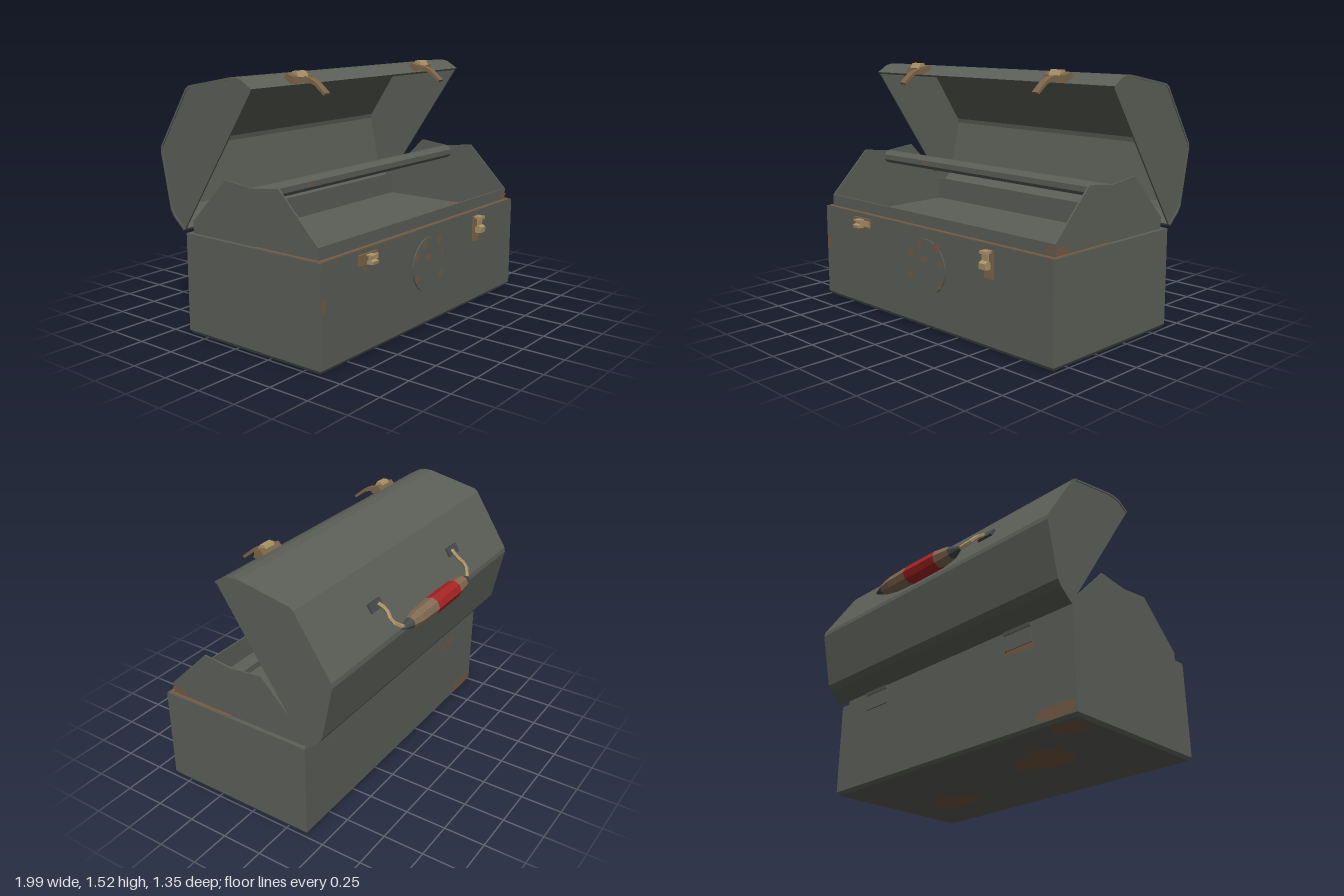
import * as THREE from 'three';

export function createModel() {
  const root = new THREE.Group();
  const mat = (name, color) => {
    const m = new THREE.MeshStandardMaterial({ color, flatShading: true, side: THREE.DoubleSide });
    m.name = name;
    return m;
  };
  const steel = mat('grey painted steel', 0x5c6058);
  const rust = mat('rust', 0x765b44);
  const red = mat('red paint', 0xa82424);
  const wood = mat('worn handle', 0x846b52);
  const dark = mat('dark iron', 0x454a4a);
  const brass = mat('pale brass', 0xab9468);
  const bronze = mat('dull bronze', 0x7d6549);

  const add = (name, geo, material, x = 0, y = 0, z = 0, parent = root) => {
    const m = new THREE.Mesh(geo, material);
    m.name = name;
    m.position.set(x, y, z);
    parent.add(m);
    return m;
  };
  const box = (name, w, h, d, material, x, y, z, parent) =>
    add(name, new THREE.BoxGeometry(w, h, d), material, x, y, z, parent);

  // Side profile given as [z, y] points, extruded along x and centred on x
  const profile = (name, pts, width, material, x = 0, parent = root) => {
    const shape = new THREE.Shape(pts.map(([z, y]) => new THREE.Vector2(-z, y)));
    const geo = new THREE.ExtrudeGeometry(shape, { depth: width, bevelEnabled: false });
    geo.translate(0, 0, -width / 2).rotateY(Math.PI / 2);
    return add(name, geo, material, x, 0, 0, parent);
  };

  // Irregular flat rust stain
  let seed = 7;
  const rand = () => (seed = (seed * 16807) % 2147483647) / 2147483647;
  const turn = {
    front: [0, 0], back: [0, Math.PI], right: [0, Math.PI / 2], left: [0, -Math.PI / 2],
    top: [-Math.PI / 2, 0], bottom: [Math.PI / 2, 0],
  };
  const stain = (face, x, y, z, w, h) => {
    const pts = [];
    for (let i = 0; i < 11; i++) {
      const a = (i / 11) * Math.PI * 2, r = 0.36 + 0.16 * rand();
      pts.push(new THREE.Vector2(Math.cos(a) * r * w, Math.sin(a) * r * h));
    }
    const m = add('rustStain', new THREE.ShapeGeometry(new THREE.Shape(pts)), rust, x, y, z);
    m.rotation.set(turn[face][0], turn[face][1], 0);
  };

  // Lower box: hollow walls and a floor with a chamfered underside
  const midZ = 0.113;
  const rect = (P, w, d) => new P([[-w, -d], [w, -d], [w, d], [-w, d]].map(([a, b]) => new THREE.Vector2(a, b)));
  const ring = rect(THREE.Shape, 0.988, 0.498);
  ring.holes.push(rect(THREE.Path, 0.958, 0.468));
  const walls = new THREE.ExtrudeGeometry(ring, { depth: 0.58, bevelEnabled: false });
  walls.rotateX(-Math.PI / 2);
  add('boxWalls', walls, steel, 0, 0.02, midZ);
  const floor = new THREE.BoxGeometry(1.976, 0.02, 0.996);
  const fp = floor.attributes.position;
  for (let i = 0; i < fp.count; i++) {
    if (fp.getY(i) < 0) fp.setXYZ(i, fp.getX(i) * 0.988, fp.getY(i), fp.getZ(i) * 0.976);
  }
  add('boxFloor', floor, steel, 0, 0.01, midZ);
  for (const s of [-1, 1]) box('cornerSeam', 0.02, 0.575, 0.006, steel, s * 0.978, 0.31, 0.612);
  // Worn ledge around the tray
  box('frontLedge', 1.95, 0.004, 0.026, rust, 0, 0.601, 0.595);
  for (const s of [-1, 1]) box('sideLedge', 0.02, 0.004, 0.45, rust, s * 0.972, 0.601, 0.37);

  // Round plate on the front
  const disc = new THREE.CylinderGeometry(0.166, 0.166, 0.008, 40);
  disc.rotateX(Math.PI / 2);
  add('frontDisc', disc, steel, 0, 0.375, 0.615);

  // Inner tray: shaped ends, low walls, floor and carrying bar
  const tray = new THREE.Group();
  tray.name = 'tray';
  root.add(tray);
  const trayEnd = [[0.578, 0.5], [0.578, 0.67], [0.31, 0.94], [0.115, 0.918], [-0.085, 0.94], [-0.352, 0.67], [-0.352, 0.5]];
  for (const s of [-1, 1]) profile('trayEnd', trayEnd, 0.01, steel, s * 0.958, tray);
  box('trayFront', 1.91, 0.17, 0.01, steel, 0, 0.585, 0.573, tray);
  box('trayBack', 1.91, 0.17, 0.01, steel, 0, 0.585, -0.347, tray);
  box('trayFloor', 1.91, 0.01, 0.92, steel, 0, 0.52, midZ, tray);
  const bar = new THREE.CylinderGeometry(0.043, 0.043, 1.91, 8);
  bar.rotateY(Math.PI / 8).rotateZ(Math.PI / 2);
  add('trayBar', bar, steel, 0, 0.877, midZ, tray);

  // Open lid: bent shell plus recessed end plates
  const lid = new THREE.Group();
  lid.name = 'lid';
  root.add(lid);
  const outer = [[0.16, 1.45], [0.085, 1.495], [0.05, 1.503], [0, 1.503], [-0.32, 1.443], [-0.345, 1.425],
    [-0.568, 1.085], [-0.573, 1.055], [-0.505, 0.72], [-0.48, 0.682], [-0.4, 0.612]];
  const inner = outer.map(([z, y]) => [-0.12 + (z + 0.12) * 0.972, 1.031 + (y - 1.031) * 0.972]);
  profile('lidShell', [...outer, ...inner.slice().reverse()], 1.99, steel, 0, lid);
  for (const s of [-1, 1]) profile('lidEnd', inner, 0.01, steel, s * 0.985, lid);

  // Back hinges
  for (const x of [-0.6, 0.62]) {
    box('hinge', 0.2, 0.1, 0.008, steel, x, 0.55, -0.389);
    profile('hingeKnuckle', [[-0.38, 0.595], [-0.4, 0.595], [-0.405, 0.615], [-0.385, 0.62]], 0.2, steel, x);
  }

  // Carrying handle: tapered faceted grip in coloured bands, [x, radius]
  const grip = [[-0.37, 0.012], [-0.3, 0.041], [-0.19, 0.055], [0.07, 0.056], [0.23, 0.05], [0.31, 0.036], [0.385, 0.008]];
  const bands = [dark, wood, red, wood, wood, dark];
  const handle = new THREE.Group();
  handle.name = 'handle';
  handle.position.set(0, 1.13, -0.615);
  root.add(handle);
  bands.forEach((m, i) => {
    const [x0, r0] = grip[i], [x1, r1] = grip[i + 1];
    const g = new THREE.CylinderGeometry(r1, r0, x1 - x0, 8, 1, i > 0 && i < 5);
    g.rotateZ(-Math.PI / 2);
    add('gripBand', g, m, (x0 + x1) / 2, 0, 0, handle);
  });
  for (const s of [-1, 1]) {
    const mount = box('handleMount', 0.11, 0.055, 0.018, dark, s * 0.435, 1.25, -0.468);
    mount.rotation.x = 0.56;
    const path = new THREE.CatmullRomCurve3([[0.42, 1.26, -0.475], [0.405, 1.23, -0.52], [0.425, 1.18, -0.57], [0.365, 1.13, -0.615]]
      .map(([x, y, z]) => new THREE.Vector3(s * x, y, z)));
    add('handleBracket', new THREE.TubeGeometry(path, 6, 0.012, 5), brass);
  }

  // Lid catches with a hanging hook
  for (const [x, hookX] of [[-0.6, -0.56], [0.585, 0.57]]) {
    profile('lidCatch', [[0.095, 1.48], [0.12, 1.51], [0.165, 1.495], [0.17, 1.455], [0.15, 1.455]], 0.16, bronze, x);
    profile('lidCatchPin', [[0.11, 1.495], [0.125, 1.522], [0.155, 1.522], [0.172, 1.49], [0.14, 1.48]], 0.08, brass, x);
    profile('lidHook', [[0.15, 1.49], [0.2, 1.482], [0.24, 1.463], [0.31, 1.405], [0.3, 1.392], [0.23, 1.447], [0.18, 1.462]], 0.045, bronze, hookX);
  }

  // Front catches
  box('leftCatchPlate', 0.16, 0.06, 0.012, bronze, -0.6, 0.545, 0.618);
  box('leftCatchInset', 0.07, 0.035, 0.008, brass, -0.555, 0.545, 0.626);
  box('rightCatchPlate', 0.065, 0.16, 0.012, bronze, 0.525, 0.49, 0.618);
  const hook = [[0.62, 0.57], [0.668, 0.572], [0.668, 0.555], [0.652, 0.55], [0.65, 0.515], [0.675, 0.505],
    [0.672, 0.47], [0.63, 0.465], [0.63, 0.5], [0.642, 0.515], [0.642, 0.555], [0.62, 0.558]];
  profile('rightCatchHook', hook, 0.05, brass, 0.525);
  profile('leftCatchHook', hook.map(([z, y]) => [z, 0.545 + (y - 0.52) * 0.5]), 0.05, brass, -0.6);

  // Rust stains: front, disc, tray and lid
  stain('front', -0.967, 0.37, 0.6165, 0.04, 0.1);
  stain('front', -0.62, 0.49, 0.6125, 0.05, 0.035);
  for (const [x, y, w, h] of [[-0.13, 0.44, 0.05, 0.06], [-0.05, 0.5, 0.04, 0.06], [0.1, 0.505, 0.06, 0.06], [0.135, 0.42, 0.04, 0.05],
    [-0.02, 0.42, 0.08, 0.04], [-0.13, 0.31, 0.05, 0.05], [0.12, 0.29, 0.05, 0.05]]) stain('front', x, y, 0.621, w, h);
  stain('front', 0.925, 0.635, 0.58, 0.06, 0.07);
  stain('right', 0.965, 0.625, 0.53, 0.12, 0.06);
  stain('front', -0.54, 0.88, 0.158, 0.05, 0.03);
  stain('top', -0.93, 0.528, 0.4, 0.07, 0.36);
  stain('top', -0.78, 0.528, 0.545, 0.36, 0.06);
  stain('top', 0.92, 0.528, 0.24, 0.07, 0.2);
  stain('top', -0.27, 0.528, 0.24, 0.05, 0.04);
  // Rust stains: back and underside
  stain('back', -0.84, 0.06, -0.388, 0.3, 0.09);
  stain('back', -0.61, 0.49, -0.388, 0.26, 0.06);
  stain('bottom', 0.55, -0.002, 0.22, 0.4, 0.24);
  stain('bottom', -0.42, -0.002, 0.02, 0.5, 0.34);
  stain('bottom', -0.84, -0.002, -0.28, 0.26, 0.18);

  return root;
}
